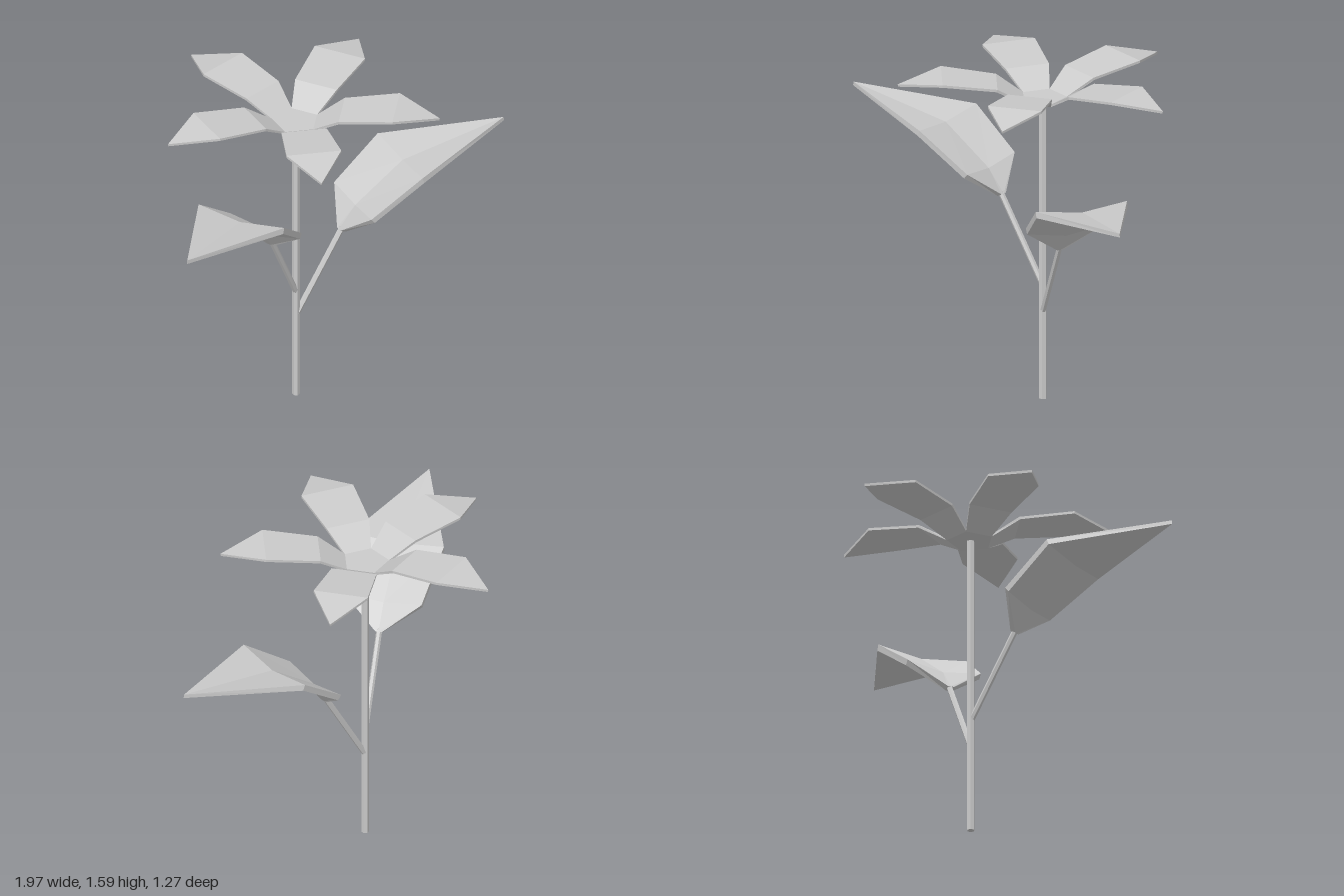
import * as THREE from 'three';

const STEM_X = -0.085;
const material = new THREE.MeshStandardMaterial({ color: 0xcccccc, flatShading: true });

// Thick blade along +x. Row: [x, y, half width, midrib drop, underside dx, underside dy]
function bladeGeometry(rows) {
  const rings = rows.map(([x, y, w, sag, dx, dy]) => {
    const top = [[x, y, -w], [x + sag * 0.5, y - sag, 0], [x, y, w]].map(p => new THREE.Vector3(...p));
    const under = top.map(p => p.clone().add(new THREE.Vector3(dx, dy, 0))).reverse();
    return [...top, ...under];
  });
  const positions = [];
  const triangle = (a, b, c) => {
    const area = b.clone().sub(a).cross(c.clone().sub(a)).length();
    if (area > 1e-7) for (const p of [a, b, c]) positions.push(p.x, p.y, p.z);
  };
  const quad = (a, b, c, d) => { triangle(a, b, c); triangle(a, c, d); };
  for (let i = 0; i < rings.length - 1; i++) {
    for (let k = 0; k < 6; k++) {
      const n = (k + 1) % 6;
      quad(rings[i][k], rings[i][n], rings[i + 1][n], rings[i + 1][k]);
    }
  }
  // End caps
  const s = rings[0], e = rings[rings.length - 1];
  quad(s[5], s[4], s[1], s[0]);
  quad(s[4], s[3], s[2], s[1]);
  quad(e[0], e[1], e[4], e[5]);
  quad(e[1], e[2], e[3], e[4]);
  const geometry = new THREE.BufferGeometry();
  geometry.setAttribute('position', new THREE.Float32BufferAttribute(positions, 3));
  geometry.computeVertexNormals();
  return geometry;
}

// Straight stalk between two points
function stalk(name, from, to, radius, sides) {
  const dir = to.clone().sub(from);
  const mesh = new THREE.Mesh(new THREE.CylinderGeometry(radius, radius, dir.length(), sides), material);
  mesh.position.copy(from).add(to).multiplyScalar(0.5);
  mesh.quaternion.setFromUnitVectors(new THREE.Vector3(0, 1, 0), dir.normalize());
  mesh.name = name;
  return mesh;
}

export function createModel() {
  const model = new THREE.Group();
  model.name = 'flower';
  const plant = new THREE.Group();
  plant.name = 'plant';
  plant.position.x = STEM_X;
  model.add(plant);

  // Main stem
  plant.add(stalk('stem', new THREE.Vector3(0, 0, 0), new THREE.Vector3(0, 1.468, 0), 0.018, 6));

  // Five-sided flower centre
  const hub = new THREE.Mesh(new THREE.CylinderGeometry(0.11, 0.11, 0.012, 5), material);
  hub.name = 'flowerCentre';
  hub.rotation.y = Math.PI / 2;
  hub.position.y = 1.471;
  plant.add(hub);

  // One petal on each side of the centre
  const petalGeometry = bladeGeometry([
    [0.089, 1.477, 0.065, 0, 0, -0.012],
    [0.212, 1.553, 0.106, 0, 0.005, -0.012],
    [0.465, 1.586, 0.128, 0, 0, -0.012],
    [0.667, 1.546, 0, 0, -0.002, -0.012],
  ]);
  for (let i = 0; i < 5; i++) {
    const petal = new THREE.Mesh(petalGeometry, material);
    petal.name = 'petal' + (i + 1);
    petal.rotation.y = Math.PI / 5 + i * Math.PI * 2 / 5;
    plant.add(petal);
  }

  // Two keeled leaves on slanting stalks
  const leafGeometry = bladeGeometry([
    [0.222, 0.825, 0.016, 0, 0.025, -0.012],
    [0.295, 0.957, 0.185, 0.025, 0.018, -0.022],
    [0.54, 1.13, 0.222, 0.025, 0.01, -0.027],
    [1.077, 1.186, 0, 0, 0.002, -0.018],
  ]);
  for (const [side, angle, lift] of [['left', -0.011, 0], ['right', -2.546, 0.128]]) {
    const leaf = new THREE.Group();
    leaf.name = side + 'Leaf';
    leaf.rotation.y = angle;
    leaf.position.y = lift;
    const blade = new THREE.Mesh(leafGeometry, material);
    blade.name = side + 'LeafBlade';
    leaf.add(blade, stalk(side + 'LeafStalk',
      new THREE.Vector3(0, 0.425, 0), new THREE.Vector3(0.24, 0.83, 0), 0.014, 6));
    plant.add(leaf);
  }
  return model;
}
